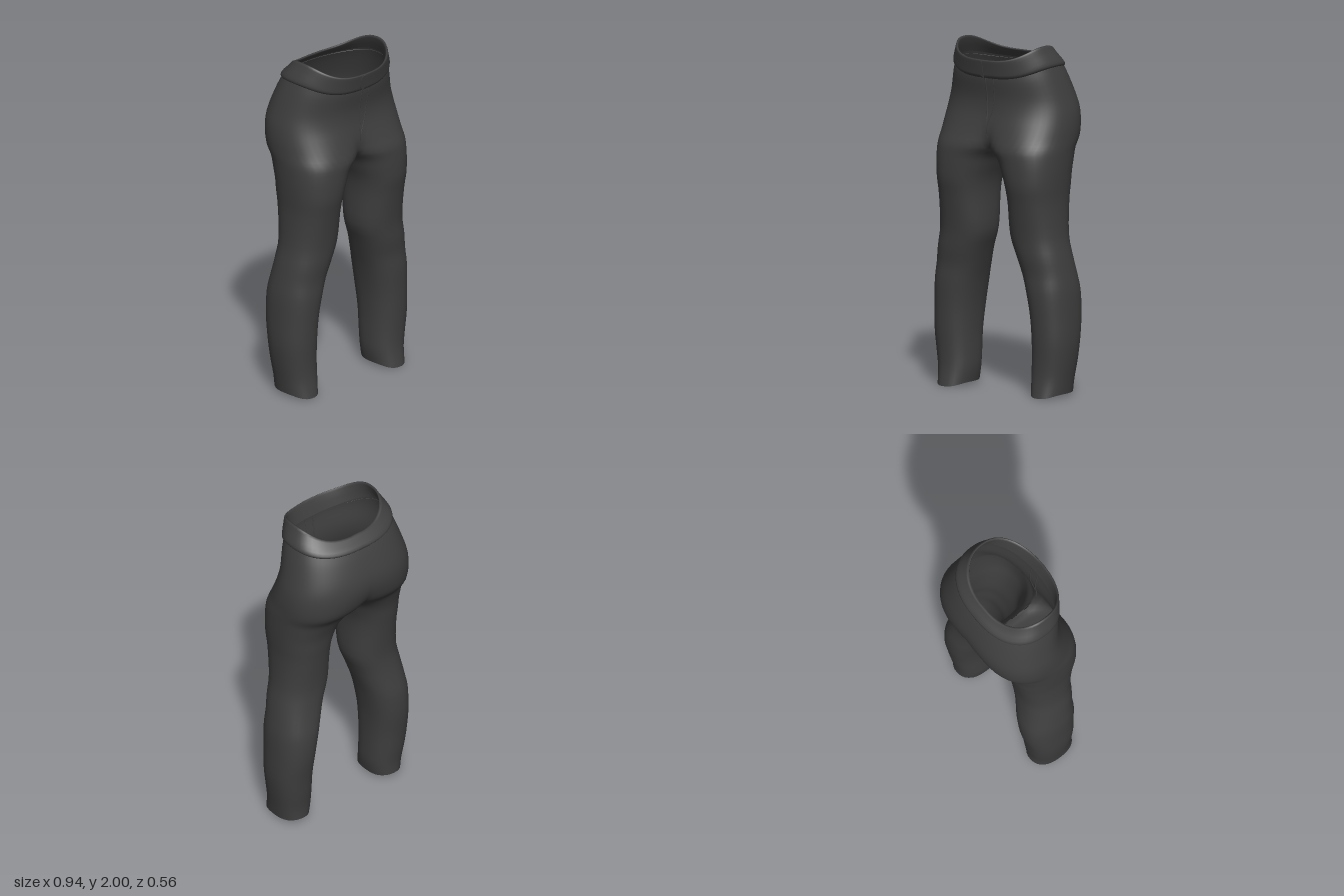
import * as THREE from 'three';
import { mergeVertices } from 'three/addons/utils/BufferGeometryUtils.js';

const cloth = new THREE.MeshStandardMaterial({ color: 0x3f3f3f, side: THREE.DoubleSide });
cloth.name = 'charcoal cloth';

const POWER = 0.87;   // slightly squared ellipse
const OUTER = 28, INNER = 12, STEPS = 3;
const spow = (v, p) => Math.sign(v) * Math.abs(v) ** p;
const level = (y, ...rest) => [y, y, y, ...rest];

// Ring of the left half: yFront, ySide, yBack, xInner, xOuter, zBack, zFront.
// A negative xInner means the two halves meet at x = 0.
const PELVIS = [
  [1.83, 1.90, 1.865, -0.325, 0.325, -0.20, 0.245],
  [1.79, 1.82, 1.80, -0.35, 0.352, -0.232, 0.242],
  level(1.70, -0.36, 0.385, -0.268, 0.226),
  level(1.62, -0.30, 0.405, -0.277, 0.226),
  level(1.54, -0.20, 0.414, -0.265, 0.242),
  level(1.47, -0.11, 0.415, -0.24, 0.262),
  level(1.41, -0.045, 0.415, -0.19, 0.28),
];
const LEG = [
  level(1.35, 0.02, 0.413, -0.163, 0.282),
  level(1.28, 0.053, 0.41, -0.142, 0.281),
  level(1.20, 0.08, 0.405, -0.13, 0.275),
  level(1.10, 0.09, 0.40, -0.115, 0.255),
  level(0.92, 0.091, 0.408, -0.095, 0.226),
  level(0.80, 0.13, 0.43, -0.10, 0.216),
  level(0.70, 0.162, 0.447, -0.115, 0.203),
  level(0.60, 0.19, 0.461, -0.13, 0.203),
  level(0.46, 0.215, 0.466, -0.127, 0.194),
  level(0.32, 0.225, 0.467, -0.108, 0.187),
  level(0.20, 0.225, 0.455, -0.095, 0.18),
  level(0.10, 0.225, 0.44, -0.082, 0.181),
  [0.0, 0.02, 0.03, 0.237, 0.43, -0.08, 0.197],
];
// Waistband: up the inside, over the top edge, down the outside
const BAND = [
  [1.83, 1.90, 1.865, -0.315, 0.315, -0.19, 0.235],
  [1.912, 1.988, 1.91, -0.28, 0.28, -0.142, 0.264],
  [1.92, 2.0, 1.918, -0.29, 0.29, -0.152, 0.278],
  [1.90, 1.97, 1.903, -0.304, 0.304, -0.17, 0.275],
  [1.85, 1.92, 1.878, -0.331, 0.331, -0.204, 0.264],
  [1.825, 1.893, 1.86, -0.339, 0.339, -0.215, 0.259],
  [1.813, 1.88, 1.85, -0.33, 0.33, -0.205, 0.245],
];

const dims = ([, , , xi, xo, zb, zf]) =>
  ({ cx: (xi + xo) / 2, rx: (xo - xi) / 2, cz: (zb + zf) / 2, rz: (zf - zb) / 2 });

// Angle at which a ring meets the middle plane
function seamAngle(row) {
  const { cx, rx } = dims(row);
  return -Math.asin(Math.min(1, Math.max(0, cx / rx)) ** (1 / POWER));
}

function ringPoint(row, a) {
  const { cx, rx, cz, rz } = dims(row);
  const s = Math.sin(a), c = Math.cos(a), side = Math.abs(s) ** 3;
  const end = THREE.MathUtils.lerp(row[2], row[0], (c + 1) / 2);
  const x = Math.max(0, cx + rx * spow(s, POWER));
  return [x < 1e-5 ? 0 : x, THREE.MathUtils.lerp(end, row[1], side), cz + rz * spow(c, POWER)];
}

// Smooth in-between rows
function refine(rows, steps) {
  const out = [];
  const at = i => rows[Math.min(rows.length - 1, Math.max(0, i))];
  for (let i = 0; i < rows.length - 1; i++) {
    for (let k = 0; k < steps; k++) {
      const t = k / steps;
      out.push(rows[i].map((p1, j) => {
        const p0 = at(i - 1)[j], p2 = at(i + 1)[j], p3 = at(i + 2)[j];
        return p1 + 0.5 * t * (p2 - p0 + t * (2 * p0 - 5 * p1 + 4 * p2 - p3 + t * (3 * (p1 - p2) + p3 - p0)));
      }));
    }
  }
  out.push(rows[rows.length - 1]);
  return out;
}

// Loft both mirrored halves; below row `split` the rings close round each leg
function loft(rows, split) {
  const pos = [], index = [], cols = OUTER + INNER + 1;
  for (const m of [1, -1]) {
    const base = pos.length / 3;
    rows.forEach((row, r) => {
      const a0 = seamAngle(rows[Math.min(r, split)]);
      for (let c = 0; c < cols; c++) {
        const a = c <= OUTER
          ? a0 + (Math.PI - 2 * a0) * c / OUTER
          : Math.PI - a0 + (Math.PI + 2 * a0) * (c - OUTER) / INNER;
        const [x, y, z] = ringPoint(row, a);
        pos.push(m * x, y, z);
      }
    });
    for (let r = 0; r < rows.length - 1; r++) {
      const last = r < split ? OUTER : cols - 1;
      for (let c = 0; c < last; c++) {
        const a = base + r * cols + c, b = a + 1, d = a + cols, e = d + 1;
        if (m > 0) index.push(a, d, b, b, d, e);
        else index.push(a, b, d, b, e, d);
      }
    }
  }
  const g = new THREE.BufferGeometry();
  g.setAttribute('position', new THREE.Float32BufferAttribute(pos, 3));
  g.setIndex(index);
  const welded = mergeVertices(g, 1e-4);
  welded.computeVertexNormals();
  return welded;
}

// Point on the front of a ring at a given x
function frontPoint(row, x) {
  const { cx, rx } = dims(row);
  const u = (x - cx) / rx;
  return new THREE.Vector3(...ringPoint(row, Math.asin(spow(u, 1 / POWER))));
}

function seam(points, radius) {
  return new THREE.TubeGeometry(new THREE.CatmullRomCurve3(points), 24, radius, 6);
}

export function createModel() {
  const group = new THREE.Group();
  const add = (name, geometry) => {
    const mesh = new THREE.Mesh(geometry, cloth);
    mesh.name = name;
    group.add(mesh);
    return mesh;
  };

  // Seat and both legs in one cloth surface
  add('trousers', loft(refine([...PELVIS, ...LEG], STEPS), (PELVIS.length - 1) * STEPS));

  // Folded waistband
  add('waistband', loft(refine(BAND, 2), Infinity));

  // Overlapping front tab
  const tab = new THREE.Shape();
  tab.moveTo(0.0, -0.052);
  tab.lineTo(0.0, 0.045);
  tab.lineTo(-0.024, 0.045);
  tab.quadraticCurveTo(-0.034, 0.03, -0.03, 0);
  tab.quadraticCurveTo(-0.034, -0.045, 0.0, -0.052);
  const front = add('waistTab', new THREE.ExtrudeGeometry(tab, { depth: 0.006, bevelEnabled: false }));
  front.position.set(0, 1.87, 0.266);
  front.rotation.x = 0.2;

  // Fly seam and the stitched edge beside it
  add('flySeam', seam(PELVIS.slice(0, 6).map(r => frontPoint(r, 0)), 0.004));
  const edge = [0.055, 0.055, 0.05, 0.035, 0.004];
  add('flyStitching', seam(edge.map((x, i) => frontPoint(PELVIS[i], x)), 0.003));
  return group;
}
